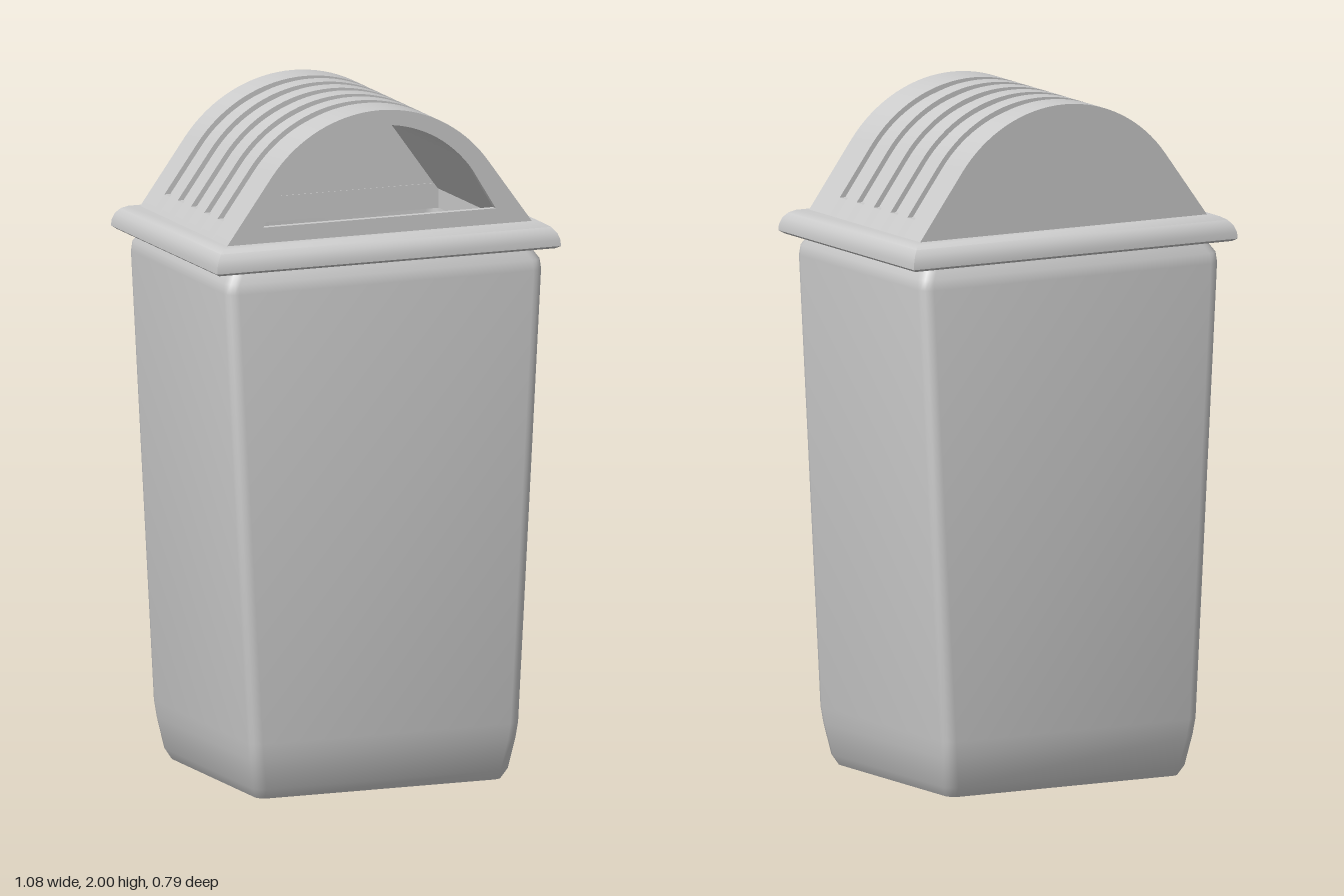
import * as THREE from 'three';
import { toCreasedNormals, mergeGeometries } from 'three/addons/utils/BufferGeometryUtils.js';

const grey = new THREE.MeshStandardMaterial({ color: 0xcccccc });

// Rounded rectangle ring in the xz plane (r = 0 gives sharp corners)
function ring(hx, hz, y, r) {
  const steps = r > 0 ? 4 : 0, pts = [];
  const corners = [[1, 1], [-1, 1], [-1, -1], [1, -1]];
  corners.forEach(([sx, sz], i) => {
    for (let k = 0; k <= steps; k++) {
      const a = (i + (steps ? k / steps : 0.5)) * Math.PI / 2;
      pts.push([sx * (hx - r) + r * Math.cos(a), y, sz * (hz - r) + r * Math.sin(a)]);
    }
  });
  return pts;
}

// Skin a run of rings [halfX, halfZ, y, cornerRadius]; outward for rings that rise on the outside
function loft(sections, crease) {
  const rings = sections.map(s => ring(...s));
  const pos = [], n = rings[0].length;
  for (let i = 0; i < rings.length - 1; i++) {
    for (let j = 0; j < n; j++) {
      const k = (j + 1) % n;
      const a = rings[i][j], b = rings[i][k], c = rings[i + 1][k], d = rings[i + 1][j];
      pos.push(...a, ...d, ...b, ...b, ...d, ...c);
    }
  }
  const g = new THREE.BufferGeometry();
  g.setAttribute('position', new THREE.Float32BufferAttribute(pos, 3));
  return toCreasedNormals(g, crease);
}

function addMesh(group, name, geometry) {
  const mesh = new THREE.Mesh(geometry, grey);
  mesh.name = name;
  group.add(mesh);
}

// Arch outline from right foot to left foot: round top with straight, sloping sides
const CY = 1.58, ANGLE = 54 * Math.PI / 180, SLOPE = 1.376;
function arch(r, footY) {
  const tx = r * Math.sin(ANGLE), ty = CY + r * Math.cos(ANGLE);
  const footX = tx + (ty - footY) / SLOPE;
  const pts = [[footX, footY]];
  for (let i = 0; i <= 32; i++) {
    const a = ANGLE * (1 - i / 16);
    pts.push([r * Math.sin(a), CY + r * Math.cos(a)]);
  }
  pts.push([-footX, footY]);
  return pts;
}
const vec = pts => pts.map(p => new THREE.Vector2(p[0], p[1]));

function slab(shape, z0, z1) {
  const g = new THREE.ExtrudeGeometry(shape, { depth: z1 - z0, bevelEnabled: false });
  g.translate(0, 0, z0);
  return toCreasedNormals(g, 0.4);
}

export function createModel() {
  const bin = new THREE.Group();
  bin.name = 'bin';

  // Hollow tapered body: recessed underside, outer wall, inner wall, floor
  addMesh(bin, 'body', loft([
    [0, 0, 0.12, 0],
    [0.35, 0.31, 0.12, 0.03],
    [0.37, 0.325, 0, 0.03],
    [0.385, 0.335, 0, 0.03],
    [0.402, 0.352, 0.03, 0.035],
    [0.418, 0.37, 0.12, 0.035],
    [0.424, 0.377, 0.17, 0.035],
    [0.497, 0.375, 1.5, 0.035],
    [0.494, 0.371, 1.53, 0.035],
    [0.48, 0.358, 1.552, 0.035],
    [0.47, 0.35, 1.575, 0.03],
    [0.455, 0.335, 1.575, 0.03],
    [0.39, 0.335, 0.14, 0.03],
    [0, 0, 0.14, 0],
  ].map(s => [s[0], s[1], s[2], s[0] ? s[3] : 1e-6]), 0.7));

  // Rolled rim with mitred corners
  addMesh(bin, 'rim', loft([
    [0.45, 0.3, 1.562, 0],
    [0.528, 0.38, 1.562, 0],
    [0.54, 0.393, 1.57, 0],
    [0.539, 0.392, 1.588, 0],
    [0.532, 0.385, 1.608, 0],
    [0.519, 0.371, 1.624, 0],
    [0.503, 0.353, 1.633, 0],
    [0.485, 0.335, 1.636, 0],
    [0.45, 0.3, 1.636, 0],
    [0.45, 0.3, 1.562, 0],
  ], 0.7));

  // Lid arch: plain bands alternating with bands whose outer face is sunk
  const lid = new THREE.Group();
  lid.name = 'lid';
  bin.add(lid);
  const R = 0.42, FRONT = 0.322, BACK = -0.322, WALL = 0.02, FOOT = 1.62, SLOT_Y = 1.685;
  const inner = arch(R - 0.035, FOOT).reverse();
  const outer = arch(R, FOOT), slotEdge = arch(R, SLOT_Y), slotBed = arch(R - 0.015, SLOT_Y);
  const plain = new THREE.Shape(vec([...outer, ...inner]));
  const sunk = new THREE.Shape(vec([
    outer[0], slotEdge[0], ...slotBed, slotEdge[slotEdge.length - 1], outer[outer.length - 1], ...inner,
  ]));
  const bands = [];
  let z = BACK;
  for (let i = 0; i < 5; i++) {
    const mid = -0.01 + (i - 2) * 0.098;
    bands.push(slab(plain, z, mid - 0.0205), slab(sunk, mid - 0.0205, mid + 0.0205));
    z = mid + 0.0205;
  }
  bands.push(slab(plain, z, FRONT - WALL));
  addMesh(lid, 'slottedArch', mergeGeometries(bands));

  // Front wall with the arched opening
  const front = new THREE.Shape(vec(outer));
  const opening = arch(0.375, 1.682);
  opening[0][0] = 0.365;
  opening[opening.length - 1][0] = -0.365;
  // Narrow the opening's arc slightly so its sides run straight into the feet
  const hole = opening.map(([x, y]) => [x * 0.965, y]);
  hole[0][0] = 0.365;
  hole[hole.length - 1][0] = -0.365;
  front.holes.push(new THREE.Path(vec(hole.reverse())));
  addMesh(lid, 'frontWall', slab(front, FRONT - WALL, FRONT));

  // Closed back wall
  const back = new THREE.Shape(vec(arch(R - 0.034, FOOT)));
  addMesh(lid, 'backWall', slab(back, BACK, BACK + WALL));

  return bin;
}
